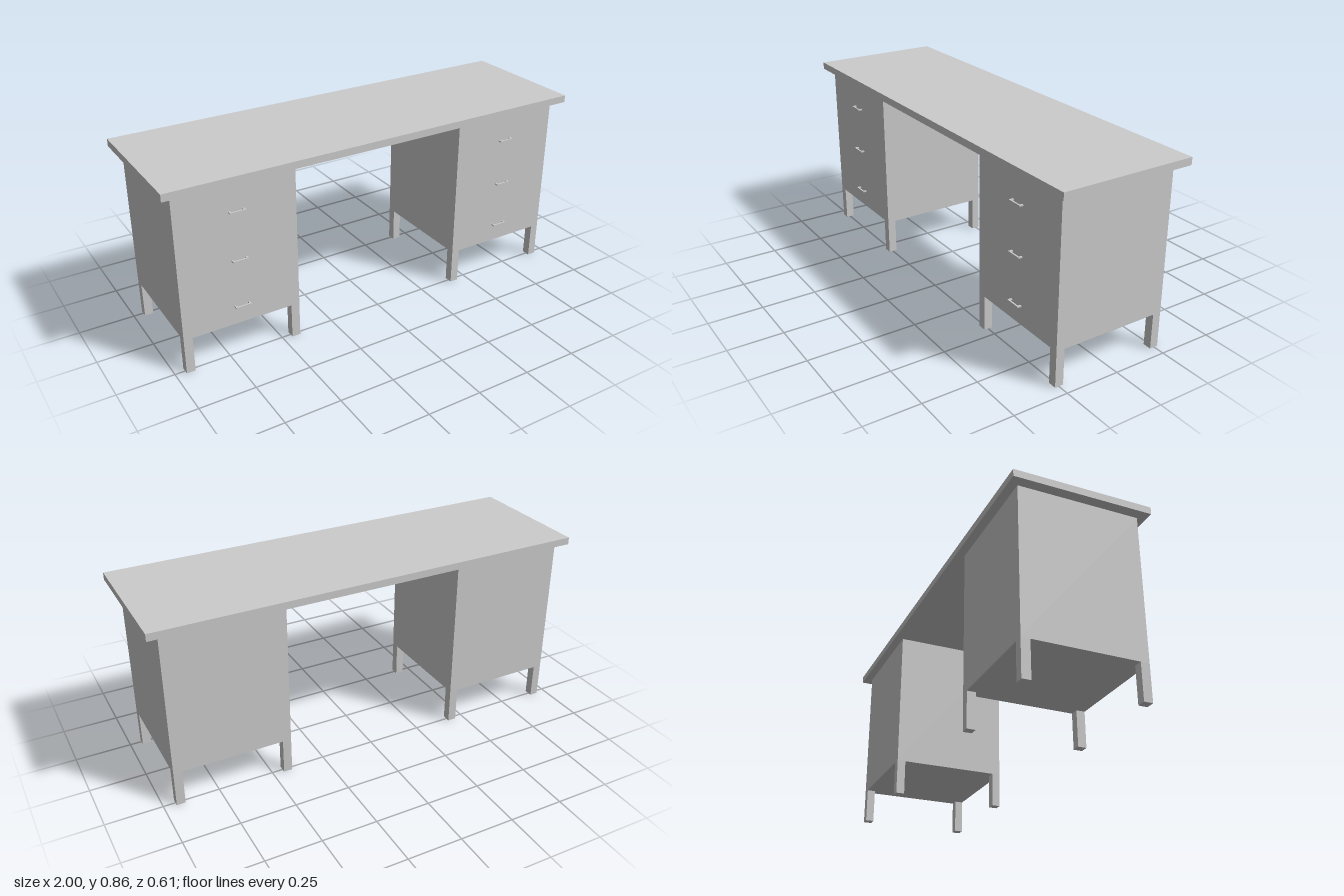
import * as THREE from 'three';

export function createModel() {
  const desk = new THREE.Group();
  desk.name = 'desk';
  const material = new THREE.MeshStandardMaterial({ color: 0xcccccc });

  const box = (parent, name, [w, h, d], [x, y, z]) => {
    const mesh = new THREE.Mesh(new THREE.BoxGeometry(w, h, d), material);
    mesh.name = name;
    mesh.position.set(x, y, z);
    parent.add(mesh);
  };

  const topBottom = 0.822, topHeight = 0.855;
  const width = 0.535, depth = 0.536, floor = 0.163, leg = 0.039;

  // Table top
  box(desk, 'tableTop', [2, topHeight - topBottom, 0.614], [0, (topHeight + topBottom) / 2, 0]);

  // Drawer handle: a thin bar on two short posts
  const addHandle = (parent, y) => {
    const handle = new THREE.Group();
    handle.name = 'handle';
    handle.position.set(0, y, depth / 2);
    box(handle, 'handleBar', [0.07, 0.006, 0.007], [0, 0, 0.0155]);
    for (const s of [-1, 1]) box(handle, 'handlePost', [0.008, 0.006, 0.012], [s * 0.031, 0, 0.006]);
    parent.add(handle);
  };

  // Two drawer pedestals, each a cabinet on four square legs
  for (const [name, x] of [['rightPedestal', -0.687], ['leftPedestal', 0.679]]) {
    const pedestal = new THREE.Group();
    pedestal.name = name;
    pedestal.position.x = x;
    box(pedestal, 'cabinet', [width, topBottom - floor, depth], [0, (topBottom + floor) / 2, 0]);
    for (const sx of [-1, 1])
      for (const sz of [-1, 1])
        box(pedestal, 'leg', [leg, floor, leg], [sx * (width - leg) / 2, floor / 2, sz * (depth - leg) / 2]);
    for (const y of [0.249, 0.468, 0.689]) addHandle(pedestal, y);
    desk.add(pedestal);
  }

  return desk;
}
